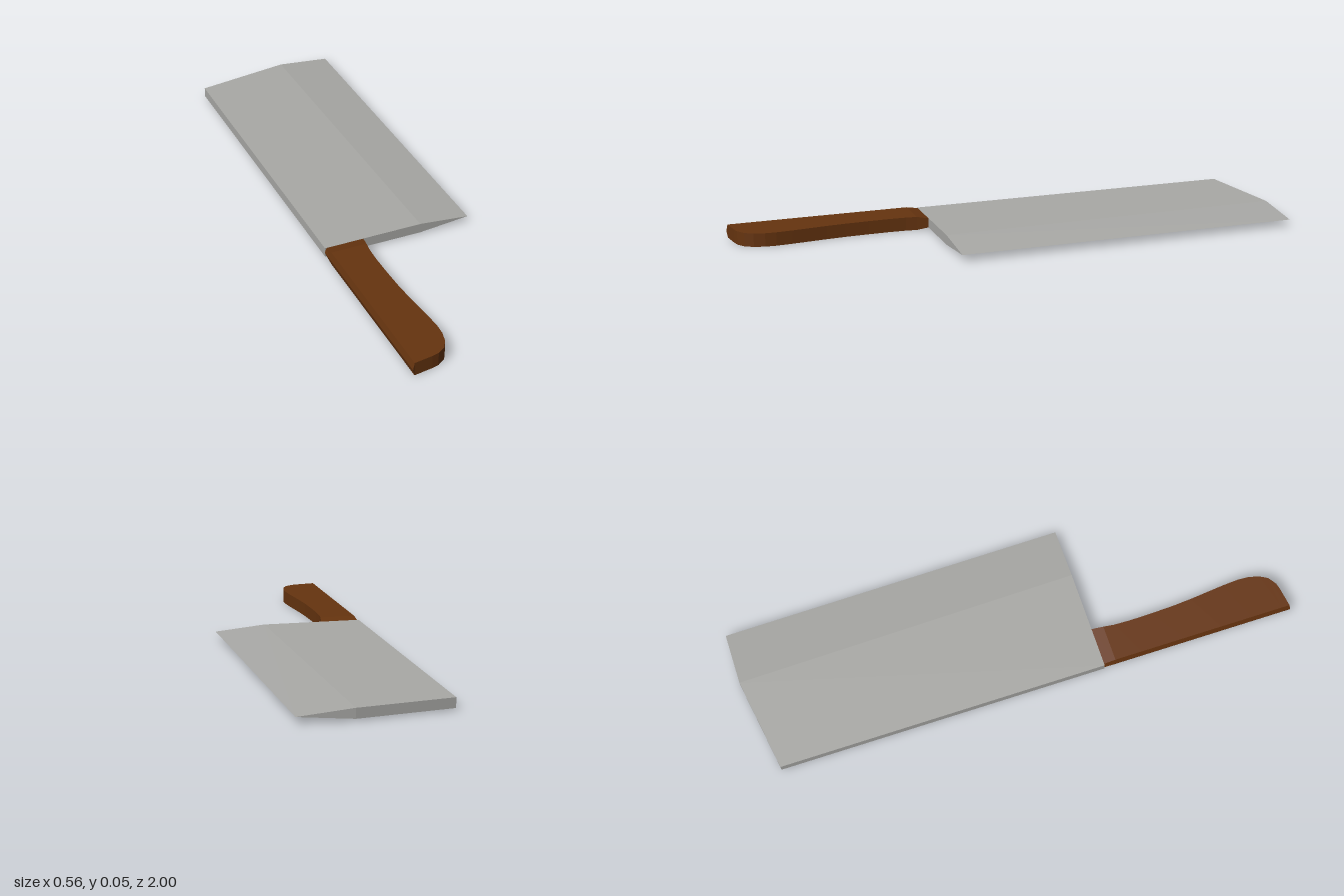
import * as THREE from 'three';

// Faceted solid through cross-section rings, ordered from back to front (-z to +z),
// each ring counter-clockwise as seen from the front.
function loft(rings) {
  const pos = [];
  const tri = (a, b, c) => pos.push(...a, ...b, ...c);
  const n = rings[0].length;
  for (let i = 0; i < rings.length - 1; i++) {
    for (let j = 0; j < n; j++) {
      const k = (j + 1) % n;
      const a = rings[i][j], b = rings[i][k], c = rings[i + 1][k], d = rings[i + 1][j];
      tri(a, b, c);
      tri(a, c, d);
    }
  }
  const first = rings[0], last = rings[rings.length - 1];
  for (let j = 2; j < n + 0; j++) {
    const k = (j + 1) % n;
    tri(first[1], first[k], first[j]);
    tri(last[1], last[j], last[k]);
  }
  const geo = new THREE.BufferGeometry();
  geo.setAttribute('position', new THREE.Float32BufferAttribute(pos, 3));
  geo.computeVertexNormals();
  return geo;
}

export function createModel() {
  const steel = new THREE.MeshStandardMaterial({ color: 0xa9a9a6 });
  steel.name = 'steel';
  const wood = new THREE.MeshStandardMaterial({ color: 0x66340f });
  wood.name = 'wood';

  const group = new THREE.Group();
  group.name = 'cleaver';
  const add = (name, geo, mat) => {
    const mesh = new THREE.Mesh(geo, mat);
    mesh.name = name;
    group.add(mesh);
  };

  // Blade: flat spine, parallel cheeks, then a bevel down to the cutting edge
  const low = 0.007, high = 0.043, mid = 0.025;
  const bladeRing = (spineZ, bevelX, edgeX, z) => [
    [-0.28, low, spineZ], [bevelX, low, z], [edgeX, mid, z],
    [bevelX, high, z], [-0.28, high, spineZ],
  ];
  add('blade', loft([
    bladeRing(-0.945, 0.07, 0.266, -1),
    bladeRing(0.277, 0.09, 0.278, 0.277),
  ]), steel);

  // Handle: ridged straight back, curved grip side, rounded butt
  // [grip side x, grip side z, back z]
  const grip = [
    [-0.133, 0.277, 0.277], [-0.14, 0.32, 0.32], [-0.145, 0.36, 0.36],
    [-0.147, 0.42, 0.42], [-0.146, 0.5, 0.5], [-0.143, 0.59, 0.59],
    [-0.138, 0.66, 0.66], [-0.131, 0.73, 0.73], [-0.125, 0.79, 0.79],
    [-0.121, 0.85, 0.85], [-0.123, 0.89, 0.9], [-0.133, 0.93, 0.94],
    [-0.15, 0.96, 0.965], [-0.18, 0.98, 0.985], [-0.205, 0.986, 0.996],
  ];
  add('handle', loft(grip.map(([x, z, backZ], i) => {
    const h = i === 0 ? 0.0175 : 0.025;
    const ridgeZ = i === grip.length - 1 ? 1 : backZ;
    return [
      [-0.281, mid, ridgeZ], [-0.274, mid - h, backZ], [x, mid - h, z],
      [x, mid + h, z], [-0.274, mid + h, backZ],
    ];
  })), wood);

  return group;
}
